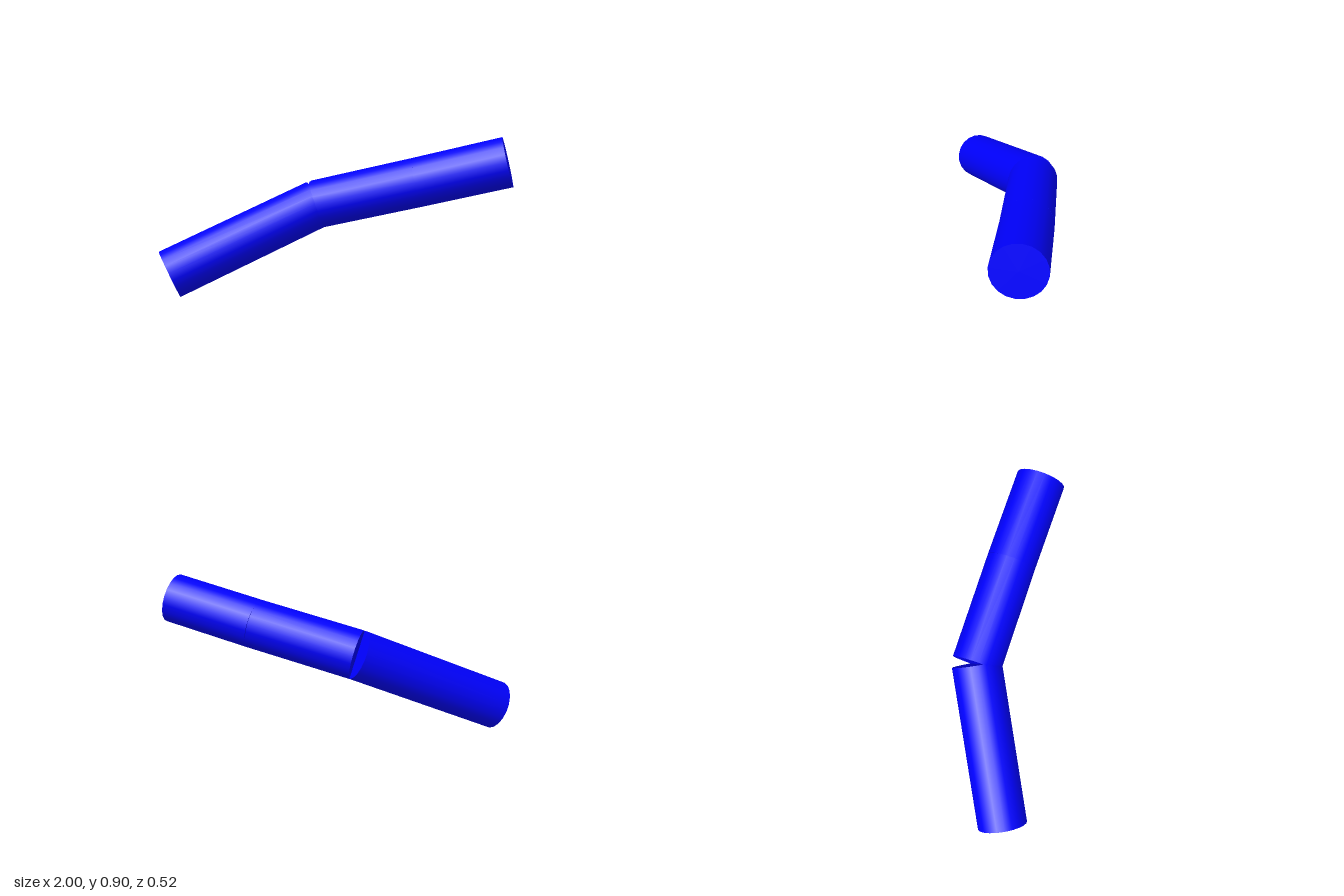
import * as THREE from 'three';

const RADIUS = 0.142;

// Capped straight rod running from one joint to the next
function rod(name, from, to, material) {
  const axis = to.clone().sub(from);
  const mesh = new THREE.Mesh(
    new THREE.CylinderGeometry(RADIUS, RADIUS, axis.length(), 20),
    material
  );
  mesh.name = name;
  mesh.position.copy(from).add(to).multiplyScalar(0.5);
  mesh.quaternion.setFromUnitVectors(new THREE.Vector3(0, 1, 0), axis.normalize());
  return mesh;
}

export function createModel() {
  const group = new THREE.Group();
  group.name = 'bentRod';
  const blue = new THREE.MeshStandardMaterial({ color: 0x0000ff });

  // Centre line joints, from the low end to the high end
  const joints = [
    new THREE.Vector3(-0.933, 0.132, 0.13),
    new THREE.Vector3(-0.11, 0.495, -0.122),
    new THREE.Vector3(0.475, 0.642, 0.0),
    new THREE.Vector3(0.957, 0.768, 0.11),
  ];

  // One segment between each pair of joints
  ['lowerSegment', 'middleSegment', 'upperSegment'].forEach((name, i) => {
    group.add(rod(name, joints[i], joints[i + 1], blue));
  });
  return group;
}
